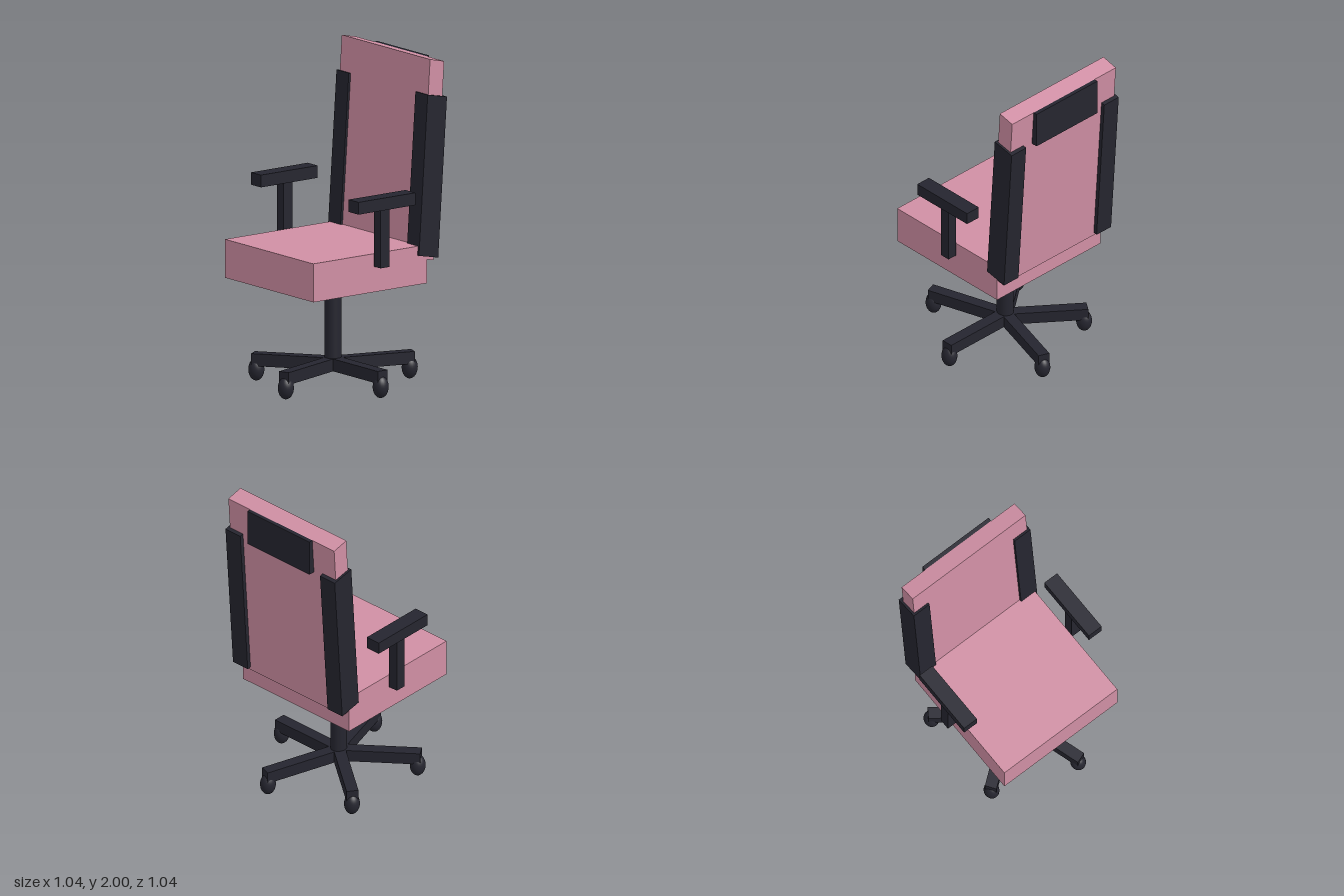
import * as THREE from 'three';

export function createModel() {
  const chair = new THREE.Group();
  chair.name = 'officeChair';
  const pink = new THREE.MeshStandardMaterial({ color: 0xd08fa4 });
  pink.name = 'pink upholstery';
  const dark = new THREE.MeshStandardMaterial({ color: 0x25252f });
  dark.name = 'dark plastic';

  const add = (name, geometry, material, parent = chair) => {
    const mesh = new THREE.Mesh(geometry, material);
    mesh.name = name;
    parent.add(mesh);
    return mesh;
  };

  // Box given by its limits on each axis
  const box = (name, material, [x0, x1], [y0, y1], [z0, z1], parent = chair) => {
    const mesh = add(name, new THREE.BoxGeometry(x1 - x0, y1 - y0, z1 - z0), material, parent);
    mesh.position.set((x0 + x1) / 2, (y0 + y1) / 2, (z0 + z1) / 2);
    return mesh;
  };

  // Leaning slab: a side profile (z, y) with a reclined front edge, swept across x
  const leaningSlab = (name, material, x0, x1, [zTop, yTop], yBottom, depth, drop) => {
    const zBottom = zTop + 0.068 * (yTop - yBottom);
    const profile = new THREE.Shape([
      new THREE.Vector2(-zTop, yTop),
      new THREE.Vector2(-zBottom, yBottom),
      new THREE.Vector2(-zBottom + depth, yBottom - drop),
      new THREE.Vector2(-zTop + depth, yTop - drop),
    ]);
    const geometry = new THREE.ExtrudeGeometry(profile, { depth: x1 - x0, bevelEnabled: false });
    geometry.rotateY(Math.PI / 2);
    geometry.translate(x0, 0, 0);
    return add(name, geometry, material);
  };

  // Seat, backrest and the plate behind its top
  box('seat', pink, [-0.427, 0.427], [0.642, 0.876], [-0.37, 0.485]);
  leaningSlab('backrest', pink, -0.427, 0.427, [-0.394, 2.0], 0.8, 0.106, 0.025);
  box('backPlate', dark, [-0.25, 0.25], [1.745, 1.975], [-0.525, -0.482]);

  // Side rails and armrests, mirrored
  for (const side of [-1, 1]) {
    const label = side > 0 ? 'left' : 'right';
    const span = (a, b) => (side > 0 ? [a, b] : [-b, -a]);
    leaningSlab(label + 'BackRail', dark, ...span(0.322, 0.441), [-0.365, 1.79], 0.82, 0.145, 0.03);
    box(label + 'ArmPad', dark, span(0.424, 0.52), [1.155, 1.23], [-0.21, 0.217]);
    box(label + 'ArmPost', dark, span(0.437, 0.5), [0.8, 1.16], [-0.03, 0.036]);
  }

  // Gas column
  const column = add('column', new THREE.CylinderGeometry(0.05, 0.05, 0.54, 32), dark);
  column.position.set(0, 0.375, 0.004);
  column.scale.set(0.97, 1, 1.05);

  // Five-legged base, slightly longer front to back
  const base = new THREE.Group();
  base.name = 'base';
  base.position.z = 0.004;
  base.scale.set(0.46, 1, 0.49);
  chair.add(base);
  for (let i = 0; i < 5; i++) {
    const arm = new THREE.Group();
    arm.name = 'baseArm' + (i + 1);
    arm.rotation.y = (i * Math.PI * 2) / 5;
    base.add(arm);
    box('leg', dark, [0, 1.043], [0.095, 0.17], [-0.075, 0.075], arm);
    const caster = add('caster', new THREE.SphereGeometry(1, 24, 16), dark, arm);
    caster.position.set(1, 0.069, 0);
    caster.scale.set(0.1, 0.068, 0.1);
  }
  return chair;
}
